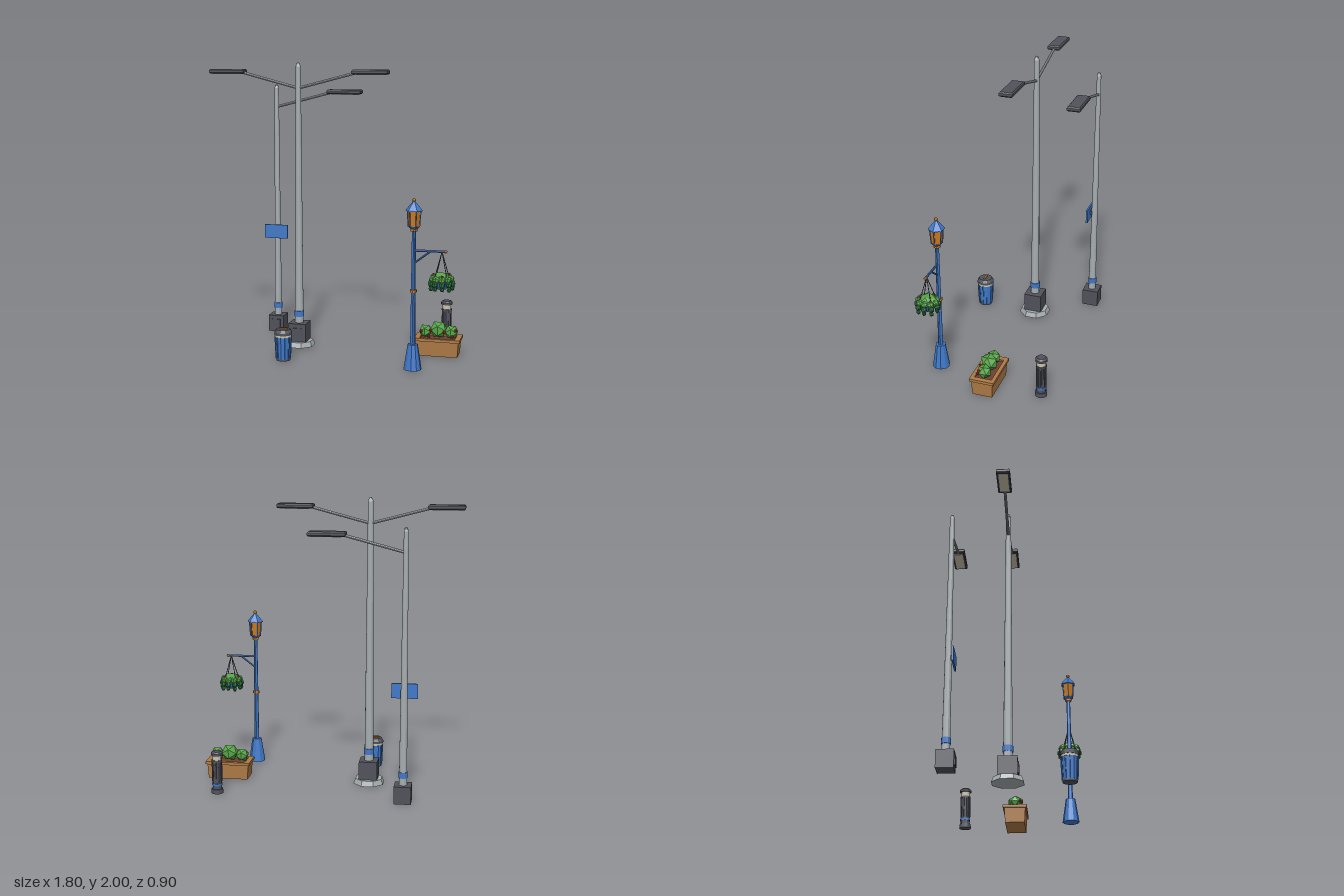
import * as THREE from 'three';

const mat = (name, color, extra = {}) => {
  const m = new THREE.MeshStandardMaterial({ color, flatShading: true, ...extra });
  m.name = name;
  return m;
};
const M = {
  steel: mat('steel grey', 0xa6adb0),
  dark: mat('charcoal', 0x50515a),
  blue: mat('blue paint', 0x3f78c8),
  orange: mat('amber', 0xcc7a1e),
  green: mat('leaf green', 0x56a548),
  deep: mat('deep green', 0x2f7040),
  wood: mat('wood', 0xad7a45),
  soil: mat('soil', 0x6e3f30),
  red: mat('red petals', 0xb5302c),
  cream: mat('pale panel', 0xc9c2ad),
};

// Small helpers: every one adds a named mesh to its parent
function add(parent, name, geo, m, x = 0, y = 0, z = 0) {
  const mesh = new THREE.Mesh(geo, m);
  mesh.name = name;
  mesh.position.set(x, y, z);
  parent.add(mesh);
  return mesh;
}
const box = (p, n, m, w, h, d, x, y, z) => add(p, n, new THREE.BoxGeometry(w, h, d), m, x, y, z);
function cyl(p, n, m, rBottom, rTop, y0, y1, sides = 12, x = 0, z = 0) {
  const g = new THREE.CylinderGeometry(rTop, rBottom, y1 - y0, sides);
  if (sides <= 8) g.rotateY(Math.PI / sides);
  return add(p, n, g, m, x, (y0 + y1) / 2, z);
}
function rod(p, n, m, a, b, r, sides = 8) {
  const A = new THREE.Vector3(...a), B = new THREE.Vector3(...b);
  const d = B.clone().sub(A);
  const mesh = add(p, n, new THREE.CylinderGeometry(r, r, d.length(), sides), m);
  mesh.position.copy(A).add(B).multiplyScalar(0.5);
  mesh.quaternion.setFromUnitVectors(new THREE.Vector3(0, 1, 0), d.normalize());
  return mesh;
}
function blob(p, n, m, r, x, y, z, detail = 0, sy = 1) {
  const mesh = add(p, n, new THREE.IcosahedronGeometry(r, detail), m, x, y, z);
  mesh.scale.y = sy;
  return mesh;
}
function group(parent, name, x, z) {
  const g = new THREE.Group();
  g.name = name;
  g.position.set(x, 0, z);
  parent.add(g);
  return g;
}

// Arm and flat lamp head reaching out on one side (s = +1 or -1)
function lampArm(p, s, y) {
  rod(p, 'lampArm', M.steel, [0, y, 0], [s * 0.4, y + 0.105, 0], 0.01);
  const shape = new THREE.Shape();
  const w = 0.117, h = 0.039;
  shape.moveTo(-w, -h).lineTo(w, -h).lineTo(w, h).lineTo(-w, h).closePath();
  const g = new THREE.ExtrudeGeometry(shape, {
    depth: 0.016, bevelThickness: 0.008, bevelSize: 0.007, bevelSegments: 1,
  });
  g.rotateX(-Math.PI / 2);
  add(p, 'lampHead', g, M.dark, s * 0.51, y + 0.105, 0);
  box(p, 'lampLens', M.cream, 0.2, 0.004, 0.062, s * 0.515, y + 0.096, 0);
}

// Tall street light: base box with door, tapered pole, band, cap and arms
function streetLight(parent, name, x, z, o) {
  const g = group(parent, name, x, z);
  const { top, baseW, y0, boxTop, sides, armY, band } = o;
  box(g, 'baseBox', M.dark, baseW, boxTop - y0, baseW, 0, (y0 + boxTop) / 2, 0);
  box(g, 'baseDoor', M.dark, baseW * 0.55, (boxTop - y0) * 0.55, 0.008, 0, (y0 + boxTop) / 2, baseW / 2 + 0.003);
  cyl(g, 'pole', M.steel, o.r, o.r * 0.58, boxTop, top - 0.025);
  cyl(g, 'poleBand', M.blue, o.r * 1.15, o.r * 1.13, band, band + 0.04);
  cyl(g, 'poleCap', M.steel, o.r * 0.62, o.r * 0.4, top - 0.027, top - 0.01);
  blob(g, 'poleTip', M.steel, 0.012, 0, top - 0.011, 0, 1);
  for (const s of sides) lampArm(g, s, armY);
  return g;
}

function litterBin(parent) {
  const g = group(parent, 'litterBin', -0.27, 0.36);
  cyl(g, 'binFoot', M.dark, 0.049, 0.049, 0, 0.015);
  cyl(g, 'binBody', M.blue, 0.049, 0.056, 0.012, 0.165);
  for (let i = 0; i < 12; i++) {
    const a = (i / 12) * Math.PI * 2;
    rod(g, 'binRib', M.blue, [Math.sin(a) * 0.05, 0.015, Math.cos(a) * 0.05],
      [Math.sin(a) * 0.057, 0.165, Math.cos(a) * 0.057], 0.004, 5);
  }
  cyl(g, 'binBand', M.cream, 0.058, 0.058, 0.163, 0.178);
  cyl(g, 'binRim', M.dark, 0.061, 0.061, 0.178, 0.195);
  cyl(g, 'binLid', M.dark, 0.061, 0.048, 0.195, 0.214);
  box(g, 'binSlot', M.orange, 0.056, 0.009, 0.012, 0, 0.217, 0);
}

function bollard(parent) {
  const g = group(parent, 'bollard', 0.73, -0.4);
  cyl(g, 'bollardFoot', M.dark, 0.042, 0.04, 0, 0.03);
  cyl(g, 'bollardBody', M.dark, 0.032, 0.032, 0.03, 0.235);
  for (let i = 0; i < 10; i++) {
    const a = (i / 10) * Math.PI * 2, s = Math.sin(a) * 0.032, c = Math.cos(a) * 0.032;
    rod(g, 'bollardFlute', M.dark, [s, 0.08, c], [s, 0.225, c], 0.004, 5);
  }
  cyl(g, 'bollardRing', M.blue, 0.036, 0.036, 0.055, 0.07);
  cyl(g, 'bollardCollar', M.dark, 0.037, 0.037, 0.222, 0.235);
  cyl(g, 'bollardLight', M.cream, 0.031, 0.031, 0.235, 0.27);
  cyl(g, 'bollardCap', M.dark, 0.041, 0.041, 0.268, 0.284);
  cyl(g, 'bollardTop', M.dark, 0.041, 0.03, 0.284, 0.295);
}

function planter(parent) {
  const g = group(parent, 'planter', 0.728, -0.035);
  // Box narrowing towards the ground
  const body = new THREE.BoxGeometry(0.295, 0.108, 0.15);
  const p = body.attributes.position;
  for (let i = 0; i < p.count; i++) {
    if (p.getY(i) < 0) p.setXYZ(i, p.getX(i) * 0.95, p.getY(i), p.getZ(i) * 0.92);
  }
  body.computeVertexNormals();
  add(g, 'planterBody', body, M.wood, 0, 0.054, 0);
  for (const s of [-1, 1]) {
    box(g, 'planterRimLong', M.wood, 0.315, 0.02, 0.026, 0, 0.115, s * 0.072);
    box(g, 'planterRimShort', M.wood, 0.036, 0.02, 0.118, s * 0.1395, 0.115, 0);
  }
  box(g, 'planterSoil', M.soil, 0.25, 0.008, 0.12, 0, 0.111, 0);
  for (const [x, r, y] of [[-0.09, 0.048, 0.16], [0, 0.062, 0.175], [0.09, 0.05, 0.163]]) {
    blob(g, 'planterBush', M.green, r, x, y, 0);
  }
  const flowers = [[-0.115, 0.165, 0.036], [-0.05, 0.175, 0.04], [0.045, 0.17, 0.045], [0.122, 0.178, 0.03],
    [-0.06, 0.135, 0.048], [0.1, 0.14, 0.045]];
  for (const [x, y, z] of flowers) blob(g, 'planterFlower', M.red, 0.012, x, y, z);
}

function hangingBasket(g) {
  const b = group(g, 'hangingBasket', 0.185, 0);
  // Half-round bowl under the leaves
  const bowl = [[0.001, 0.545], [0.03, 0.55], [0.05, 0.575], [0.06, 0.62], [0.001, 0.62]];
  add(b, 'basketBowl', new THREE.LatheGeometry(bowl.map(q => new THREE.Vector2(...q)), 10), M.blue);
  blob(b, 'basketCrown', M.green, 0.068, 0, 0.618, 0, 0, 0.68);
  for (let i = 0; i < 9; i++) {
    const a = (i / 9) * Math.PI * 2 + 0.2, s = Math.sin(a), c = Math.cos(a);
    blob(b, 'basketLeaf', M.green, 0.026, s * 0.058, 0.618, c * 0.058);
    blob(b, 'trailingLeaf', M.deep, 0.021, s * 0.071, 0.588, c * 0.071, 0, 1.2);
    blob(b, 'trailingTip', M.deep, 0.016, s * 0.07, 0.562 - (i % 2) * 0.006, c * 0.07, 0, 1.3);
    if (i % 3 === 0) blob(b, 'basketFlower', M.red, 0.009, s * 0.06, 0.642, c * 0.06);
  }
  for (let i = 0; i < 4; i++) {
    const a = (i / 4) * Math.PI * 2 + Math.PI / 4;
    rod(b, 'basketWire', M.dark, [0, 0.795, 0], [Math.sin(a) * 0.058, 0.625, Math.cos(a) * 0.058], 0.0028, 5);
  }
}

function lantern(parent) {
  const g = group(parent, 'lanternPost', 0.618, 0.36);
  cyl(g, 'lanternFoot', M.blue, 0.06, 0.034, 0, 0.17, 10);
  cyl(g, 'lanternPole', M.blue, 0.017, 0.013, 0.165, 0.94, 10);
  cyl(g, 'poleRing', M.orange, 0.023, 0.023, 0.518, 0.535, 10);
  cyl(g, 'neckRing', M.orange, 0.023, 0.023, 0.922, 0.94, 10);
  // Six-sided lamp: tray, glass, corner bars, roof and finial
  cyl(g, 'lampTray', M.blue, 0.026, 0.04, 0.938, 0.955, 6);
  cyl(g, 'lampGlass', M.orange, 0.036, 0.044, 0.953, 1.057, 6);
  for (let i = 0; i < 6; i++) {
    const a = (i / 6) * Math.PI * 2 + Math.PI / 6, s = Math.sin(a), c = Math.cos(a);
    rod(g, 'lampBar', M.blue, [s * 0.037, 0.95, c * 0.037], [s * 0.045, 1.06, c * 0.045], 0.004, 5);
  }
  cyl(g, 'lampEave', M.blue, 0.056, 0.054, 1.054, 1.062, 6);
  cyl(g, 'lampRoof', M.blue, 0.054, 0.009, 1.062, 1.115, 6);
  blob(g, 'finial', M.orange, 0.013, 0, 1.125, 0, 1);
  // Bracket
  rod(g, 'bracketArm', M.blue, [0, 0.795, 0], [0.208, 0.795, 0], 0.008);
  rod(g, 'bracketBrace', M.blue, [0.008, 0.715, 0], [0.11, 0.793, 0], 0.0065);
  blob(g, 'bracketTip', M.orange, 0.011, 0.209, 0.795, 0, 1);
  hangingBasket(g);
}

export function createModel() {
  const root = new THREE.Group();
  root.name = 'streetFurniture';

  const tall = streetLight(root, 'doubleStreetLight', -0.27, -0.033, {
    top: 1.995, baseW: 0.128, y0: 0.03, boxTop: 0.165, r: 0.031, sides: [-1, 1], armY: 1.82, band: 0.21,
  });
  cyl(tall, 'footing', M.steel, 0.112, 0.098, 0, 0.036, 8);

  const short = streetLight(root, 'singleStreetLight', -0.54, -0.4, {
    top: 1.832, baseW: 0.115, y0: 0, boxTop: 0.12, r: 0.027, sides: [1], armY: 1.67, band: 0.17,
  });
  box(short, 'signPlate', M.blue, 0.175, 0.1, 0.012, 0, 0.753, 0.036);
  box(short, 'signClamp', M.dark, 0.03, 0.03, 0.02, 0, 0.753, 0.022);

  litterBin(root);
  bollard(root);
  planter(root);
  lantern(root);
  return root;
}
